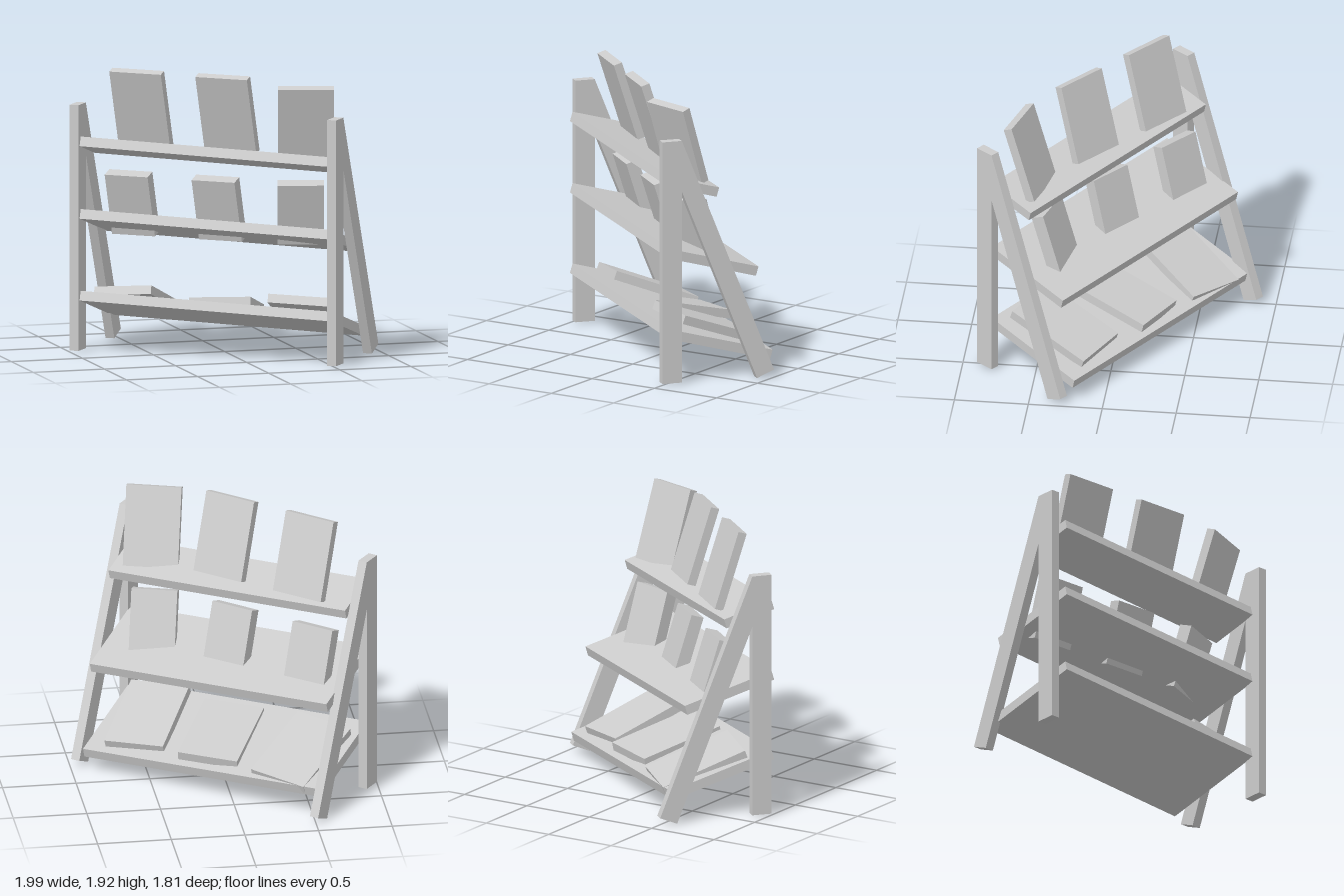
import * as THREE from 'three';

const material = new THREE.MeshStandardMaterial({ color: 0xcccccc });

export function createModel() {
  const group = new THREE.Group();

  // Box hung from an anchor on its left end; ay and az (-0.5 or 0.5) say
  // which way the body extends from the anchor in height and depth.
  function board(name, [w, h, d], [ay, az], pos, yaw, pitch, roll = 0) {
    const geometry = new THREE.BoxGeometry(w, h, d).translate(w / 2, ay * h, az * d);
    const mesh = new THREE.Mesh(geometry, material);
    mesh.name = name;
    mesh.position.set(...pos);
    mesh.rotation.set(pitch, -yaw, roll, 'YXZ');
    group.add(mesh);
  }

  // Side frames: an upright post with a slanted brace behind it
  const extrude = (points) => new THREE.ExtrudeGeometry(
    new THREE.Shape(points.map(([s, y]) => new THREE.Vector2(s, y))),
    { depth: 0.064, bevelEnabled: false });
  const post = extrude([[0, 0.01], [0.137, 0.01], [0.137, 1.68], [0, 1.68]]);
  const brace = extrude([[0.137, 1.33], [0.67, 0], [0.79, 0.05], [0.137, 1.68]]);
  for (const [side, x, z] of [['right', -1.0, -0.29], ['left', 0.453, 0.865]]) {
    const frame = new THREE.Group();
    frame.name = side + 'SideFrame';
    for (const [name, geometry] of [['Post', post], ['Brace', brace]]) {
      const mesh = new THREE.Mesh(geometry, material);
      mesh.name = side + name;
      frame.add(mesh);
    }
    frame.position.set(x, 0, z);
    frame.rotation.y = 0.902;
    group.add(frame);
  }

  // Sloping shelves, deeper towards the bottom, anchored at the high long edge
  for (const [name, y, depth] of [
    ['bottomShelf', 0.425, 0.762], ['middleShelf', 0.981, 0.655], ['topShelf', 1.474, 0.358],
  ]) {
    board(name, [1.777, 0.066, depth], [-0.5, -0.5], [-0.947, y, -0.21], 0.598, -0.272, -0.035);
  }

  // Leaning panels on the top and middle shelves, the last of each turned askew
  const yaws = [0.692, 0.692, 0.292];
  const topSpots = [[-0.604, 1.4, -0.381], [-0.123, 1.4, 0.019], [0.251, 1.353, 0.397]];
  const middleSpots = [[-0.592, 0.787, -0.535], [-0.106, 0.787, -0.132], [0.298, 0.787, 0.236]];
  yaws.forEach((yaw, i) => {
    board('topPanel' + (i + 1), [0.375, 0.55, 0.06], [0.5, 0.5], topSpots[i], yaw, 0.308);
    board('middlePanel' + (i + 1), [0.312, 0.44, 0.088], [0.5, 0.5], middleSpots[i], yaw, 0.303);
  });

  // Panels lying loosely on the bottom shelf
  [
    [[-0.433, 0.216, -0.755], 0.73, -0.36, 0.085],
    [[-0.037, 0.262, -0.381], 0.454, -0.235, 0.035],
    [[0.417, 0.25, -0.04], 0.464, -0.345, -0.045],
  ].forEach(([pos, yaw, pitch, roll], i) =>
    board('lyingPanel' + (i + 1), [0.416, 0.06, 0.608], [-0.5, 0.5], pos, yaw, pitch, roll));

  return group;
}
